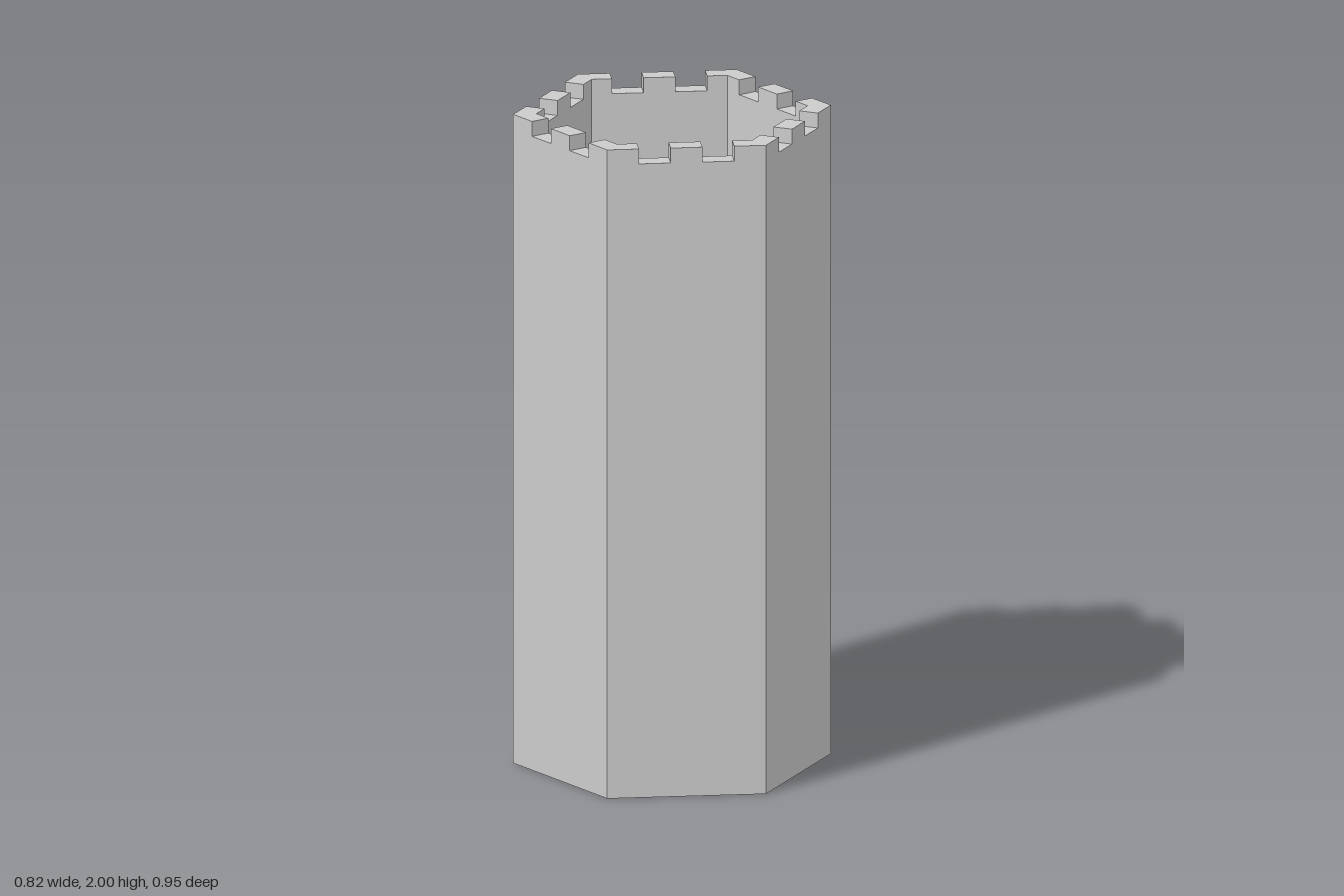
import * as THREE from 'three';

const HEIGHT = 2, NOTCH_Y = 1.954;       // merlon top and notch floor
const OUTER = 0.41, INNER = 0.35;        // distances from axis to the wall faces
const SEGMENTS = 5;                      // merlon, notch, merlon, notch, merlon

// One side of the hexagonal tower, facing +z, with mitred ends left open
function wallGeometry() {
  const positions = [];
  const quad = (a, b, c, d) => positions.push(...a, ...b, ...c, ...a, ...c, ...d);
  const outerHalf = OUTER / Math.sqrt(3), innerHalf = INNER / Math.sqrt(3);
  const step = 2 * outerHalf / SEGMENTS;

  for (let i = 0; i < SEGMENTS; i++) {
    const o0 = -outerHalf + i * step, o1 = o0 + step;
    const n0 = Math.max(o0, -innerHalf), n1 = Math.min(o1, innerHalf);
    const y = i % 2 ? NOTCH_Y : HEIGHT;

    // outer face, inner face, top, underside
    quad([o0, 0, OUTER], [o1, 0, OUTER], [o1, y, OUTER], [o0, y, OUTER]);
    quad([n1, 0, INNER], [n0, 0, INNER], [n0, y, INNER], [n1, y, INNER]);
    quad([o0, y, OUTER], [o1, y, OUTER], [n1, y, INNER], [n0, y, INNER]);
    quad([o1, 0, OUTER], [o0, 0, OUTER], [n0, 0, INNER], [n1, 0, INNER]);

    // upright cheek between this segment and the next
    if (i < SEGMENTS - 1) {
      const cheek = [
        [o1, NOTCH_Y, OUTER], [o1, NOTCH_Y, INNER],
        [o1, HEIGHT, INNER], [o1, HEIGHT, OUTER],
      ];
      if (i % 2) cheek.reverse();
      quad(...cheek);
    }
  }

  const geometry = new THREE.BufferGeometry();
  geometry.setAttribute('position', new THREE.Float32BufferAttribute(positions, 3));
  geometry.computeVertexNormals();
  return geometry;
}

export function createModel() {
  const tower = new THREE.Group();
  tower.name = 'hexagonalTower';
  const material = new THREE.MeshStandardMaterial({ color: 0xcccccc, flatShading: true });
  const geometry = wallGeometry();

  // six crenellated walls around the axis, corners at front and back
  for (let k = 0; k < 6; k++) {
    const wall = new THREE.Mesh(geometry, material);
    wall.name = `crenellatedWall${k + 1}`;
    wall.rotation.y = Math.PI / 6 + k * Math.PI / 3;
    tower.add(wall);
  }
  return tower;
}
